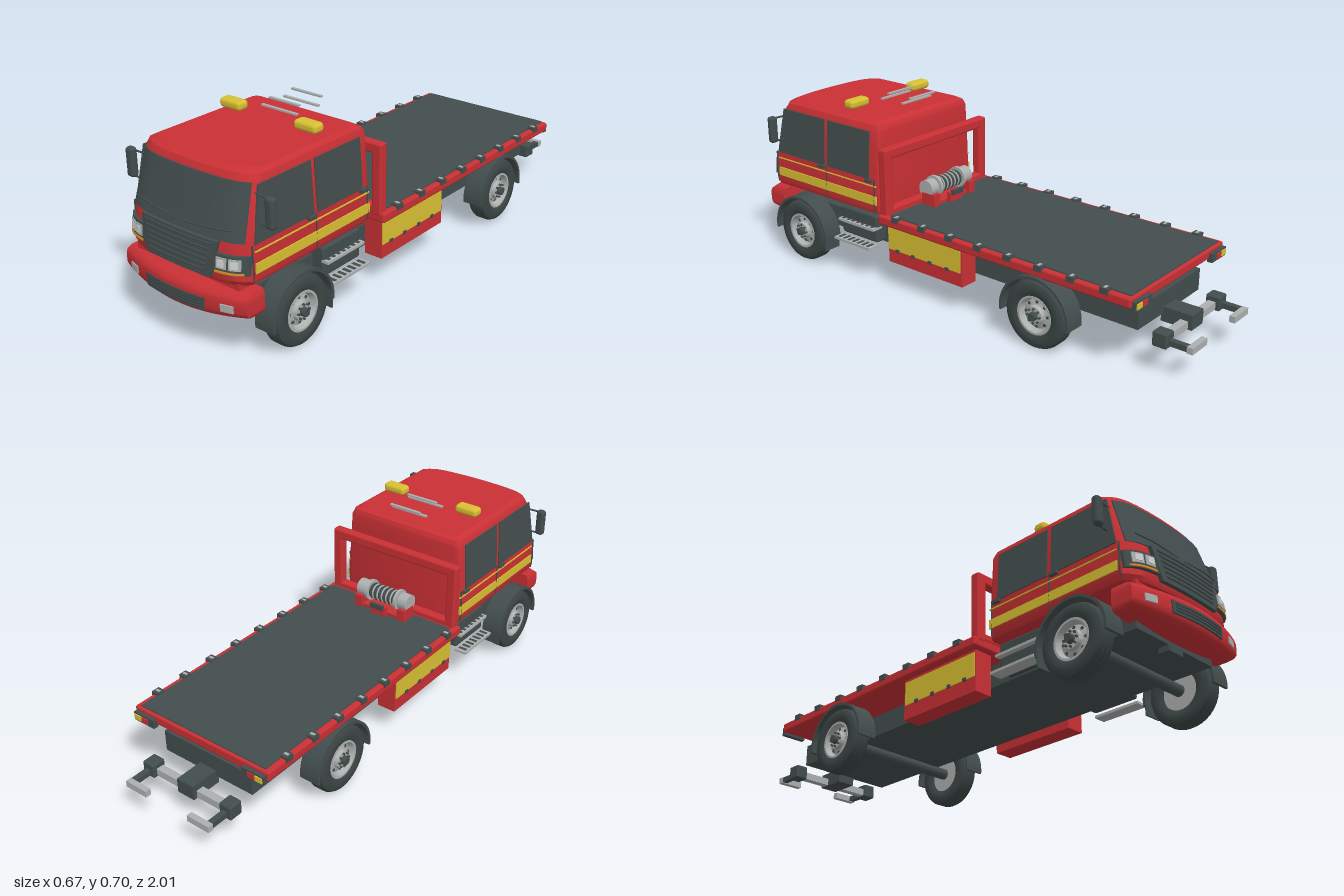
import * as THREE from 'three';
import { toCreasedNormals } from 'three/addons/utils/BufferGeometryUtils.js';
import { RoundedBoxGeometry } from 'three/addons/geometries/RoundedBoxGeometry.js';

const paint = (name, color) => {
  const m = new THREE.MeshStandardMaterial({ color, side: THREE.DoubleSide });
  m.name = name;
  return m;
};
const red = paint('red', 0xc93034), dark = paint('dark grey', 0x434d4d), yellow = paint('yellow', 0xd8c032);
const silver = paint('silver', 0xacb0af), lamp = paint('lamp', 0xd0d2d2), orange = paint('orange', 0xe08820);
const tyre = paint('tyre', 0x3c4545);

export function createModel() {
  const model = new THREE.Group();
  const add = (name, geo, mat, x = 0, y = 0, z = 0, parent = model) => {
    const m = new THREE.Mesh(geo, mat);
    m.name = name;
    m.position.set(x, y, z);
    parent.add(m);
    return m;
  };
  // Box given by its limits, with optional rounded edges
  const box = (name, mat, x0, x1, y0, y1, z0, z1, r = 0) => {
    const s = [Math.abs(x1 - x0), y1 - y0, z1 - z0];
    return add(name, r ? new RoundedBoxGeometry(...s, 2, r) : new THREE.BoxGeometry(...s), mat,
      (x0 + x1) / 2, (y0 + y1) / 2, (z0 + z1) / 2);
  };
  const rod = (name, mat, pts, r) => add(name, new THREE.TubeGeometry(
    new THREE.CatmullRomCurve3(pts.map(p => new THREE.Vector3(...p))), 12, r, 6), mat);
  const both = fn => [1, -1].forEach(fn);
  const lerp = THREE.MathUtils.lerp;
  const curve = (table, y) => {
    let i = 1;
    while (i < table.length - 1 && y > table[i][0]) i++;
    const [a, b] = [table[i - 1], table[i]];
    return lerp(a[1], b[1], THREE.MathUtils.clamp((y - a[0]) / (b[0] - a[0]), 0, 1));
  };

  // Cab outline rules
  const sideX = y => curve([[.283, .263], [.30, .27], [.42, .268], [.61, .256], [.63, .249], [.641, .23]], y);
  const noseZ = y => curve([[.283, .958], [.30, .966], [.42, .954], [.61, .898], [.63, .888], [.641, .865]], y);
  const rearZ = y => curve([[.283, .328], [.61, .328], [.63, .336], [.641, .355]], y);
  const frontZ = (x, y) => {
    const t = Math.min(1, Math.abs(x) / sideX(y));
    return noseZ(y) - .02 * t ** 2 - .035 * t ** 8;
  };
  const bumperZ = x => 1 - .05 * (x / .28) ** 2;

  // Grid surface from a rule giving [x, y, z]
  const surface = (nu, nv, f) => {
    const p = [], idx = [];
    for (let j = 0; j <= nv; j++) for (let i = 0; i <= nu; i++) p.push(...f(i, j));
    for (let j = 0; j < nv; j++) for (let i = 0; i < nu; i++) {
      const a = j * (nu + 1) + i, b = a + nu + 1;
      idx.push(a, a + 1, b + 1, a, b + 1, b);
    }
    const g = new THREE.BufferGeometry();
    g.setAttribute('position', new THREE.Float32BufferAttribute(p, 3));
    g.setIndex(idx);
    return toCreasedNormals(g, .6);
  };
  // Raised plate lying on a curved face: l/r limits at its bottom and top edges
  const panel = (name, mat, map, y0, y1, l0, r0, l1 = l0, r1 = r0, off = .004) => {
    const nu = 16, nv = 8, c = (k, n) => THREE.MathUtils.clamp((k - 1) / (n - 2), 0, 1);
    return add(name, surface(nu, nv, (i, j) => {
      const u = c(i, nu), v = c(j, nv);
      const rim = i === 0 || j === 0 || i === nu || j === nv;
      return map(lerp(lerp(l0, r0, u), lerp(l1, r1, u), v), lerp(y0, y1, v), rim ? -.002 : off);
    }), mat);
  };
  const onNose = (x, y, o) => [x, y, frontZ(x, y) + o];
  const onBumper = (x, y, o) => [x, y, bumperZ(x) + o];
  const onSide = s => (z, y, o) => [s * (sideX(y) + o), y, z];

  // Cab shell, ring by ring
  const levels = [.283, .30, .36, .42, .515, .61, .62, .63, .637, .641], N = 24;
  const ring = y => {
    const w = sideX(y), b = rearZ(y), pts = [];
    for (let i = 0; i <= N; i++) {
      const x = w * Math.sin((i / N - .5) * Math.PI);
      pts.push([x, y, frontZ(x, y)]);
    }
    pts.push([w, y, b + .02], [w - .006, y, b + .006], [w - .02, y, b]);
    pts.push([-w + .02, y, b], [-w + .006, y, b + .006], [-w, y, b + .02], pts[0]);
    return pts;
  };
  const rings = levels.map(ring), count = rings[0].length - 1;
  add('cabShell', surface(count, levels.length - 1, (i, j) => rings[j][i]), red);
  for (const k of [0, levels.length - 1])
    add(k ? 'cabRoof' : 'cabFloor', surface(count, 1, (i, j) => j ? [0, levels[k], .6] : rings[k][i]), red);

  // Windscreen, grille and wipers
  panel('windscreen', dark, onNose, .425, .608, -.25, .25, -.238, .238);
  panel('grille', dark, onNose, .30, .424, -.145, .145, -.173, .173, .014);
  for (let k = 0; k < 6; k++) {
    const y = .322 + k * .018, w = .125 + k * .005;
    rod('grilleSlat', dark, [-1, -.5, 0, .5, 1].map(t => [t * w, y, frontZ(t * w, y) + .015]), .0035);
  }
  both(s => {
    rod('wiper', dark, [.015, .08, .15, .215].map(x => [s * x, .445 + .085 * x, frontZ(x, .46) + .008]), .003);
    // Headlights
    panel('headlightHousing', dark, onNose, .322, .386, s * .152, s * .267, s * .165, s * .267, .012);
    for (const x of [.188, .232]) {
      panel('headlightBezel', silver, onNose, .34, .377, s * (x - .018), s * (x + .018), undefined, undefined, .015);
      panel('headlight', lamp, onNose, .347, .37, s * (x - .011), s * (x + .011), undefined, undefined, .018);
    }
    panel('indicator', orange, onNose, .325, .332, s * .165, s * .258, undefined, undefined, .015);
    // Doors
    const side = onSide(s);
    panel('frontWindow', dark, side, .42, .606, .895, .62, .858, .62);
    panel('rearWindow', dark, side, .42, .606, .602, .372);
    panel('yellowStripe', yellow, side, .32, .355, .335, .895);
    panel('thinStripe', yellow, side, .393, .397, .335, .895);
    for (const z of [.61, .345, .905]) panel('doorSeam', dark, side, .29, .42, z - .0015, z + .0015);
    for (const z of [.635, .37]) box('doorHandle', dark, s * .262, s * .281, .409, .42, z - .017, z + .017);
    // Mirrors
    box('mirror', dark, s * .298, s * .333, .476, .584, .85, .88, .012);
    for (const y of [.48, .575]) rod('mirrorArm', dark, [[s * .245, y, .86], [s * .315, y, .865]], .004);
  });

  // Roof beacons and rails
  both(s => box('beacon', yellow, s * .121, s * .219, .655, .69, .5, .55, .014));
  for (const [z, y, w] of [[.48, .675, .08], [.455, .697, .068], [.37, .675, .08], [.34, .697, .068]])
    box('roofRail', silver, -w, w, y - .003, y + .003, z - .006, z + .006);

  // Front bumper: a box bowed in plan, rounded below
  const bumper = new THREE.BoxGeometry(.56, .108, .13, 24, 8, 4), bp = bumper.attributes.position;
  for (let i = 0; i < bp.count; i++) {
    const x = bp.getX(i), v = bp.getY(i) / .054, d = bp.getZ(i) / .13 + .5;
    bp.setXYZ(i, x * (1 - .03 * v ** 6), .21 + v * .054 + (v < 0 ? -v * .022 * (x / .28) ** 2 : 0),
      lerp(.87, bumperZ(x) - .02 * v ** 6 - (v < 0 ? .012 * v * v : 0), d));
  }
  add('frontBumper', toCreasedNormals(bumper, .7), red);
  panel('bumperGrille', dark, onBumper, .186, .23, -.13, .13, -.135, .135);
  for (const y of [.197, .208, .219]) panel('bumperSlat', tyre, onBumper, y - .002, y + .002, -.12, .12, -.12, .12, .007);
  both(s => panel('fogLight', silver, onBumper, .199, .225, s * .192, s * .236));
  box('bumperMount', red, -.235, .235, .23, .29, .87, .935);

  // Chassis
  box('chassis', dark, -.2, .2, .142, .225, -.8, .9);
  box('subframe', dark, -.1, .1, .222, .27, -.78, .27);
  box('towEye', dark, -.038, .038, .123, .145, .86, .9);

  // Flat bed
  box('bed', red, -.305, .305, .266, .303, -.83, .296, .008);
  box('bedFloor', dark, -.284, .284, .30, .307, -.82, .25);
  box('headboardBeam', red, -.29, .29, .52, .56, .26, .298, .008);
  box('headboardFoot', red, -.29, .29, .295, .325, .26, .298, .008);
  both(s => {
    box('headboardPost', red, s * .25, s * .29, .29, .56, .26, .298, .008);
    for (let k = 0; k < 8; k++) {
      const z = .205 - k * .1335;
      box('lashingRing', dark, s * .279, s * .309, .292, .313, z - .016, z + .016);
      box('ringPin', silver, s * .285, s * .303, .311, .315, z - .005, z + .005);
    }
    // Rear lamps
    box('rearLampHousing', dark, s * .2, s * .295, .257, .29, -.845, -.825);
    box('rearLamp', red, s * .228, s * .256, .264, .284, -.849, -.844);
    box('rearIndicator', yellow, s * .26, s * .29, .264, .284, -.849, -.844);
    // Tool boxes
    box('toolBox', red, s * .2, s * .275, .11, .268, -.1, .27);
    box('toolBoxPanel', yellow, s * .274, s * .279, .165, .255, -.093, .268);
    for (const z of [-.03, .055, .14, .22]) box('toolBoxLatch', dark, s * .277, s * .283, .16, .172, z - .008, z + .008);
    // Tanks and access steps
    box('tank', dark, s * .19, s * .25, .15, .262, .36, .555, .01);
    for (const [y, x] of [[.21, .27], [.138, .295]]) {
      box('step', silver, s * (x - .05), s * x, y - .005, y + .005, .36, .555);
      for (let k = 0; k < 7; k++)
        box('stepTread', dark, s * (x - .042), s * (x - .008), y + .004, y + .007, .374 + k * .026, .386 + k * .026);
    }
  });

  // Winch
  const across = (name, mat, r, w, x, y, z, n = 20) =>
    (add(name, new THREE.CylinderGeometry(r, r, w, n), mat, x, y, z).rotation.z = Math.PI / 2);
  across('winchDrum', dark, .028, .18, 0, .372, .22);
  for (let k = -5; k <= 5; k++)
    add('winchCable', new THREE.TorusGeometry(.029, .004, 5, 18), k % 2 ? dark : silver, k * .0105, .372, .22).rotation.y = Math.PI / 2;
  both(s => {
    across('winchFlange', silver, .042, .012, s * .067, .372, .22);
    across('winchMotor', silver, .034, .04, s * .097, .372, .22);
    box('winchBracket', red, s * .085, s * .118, .305, .355, .175, .24);
  });
  box('winchBase', red, -.11, .11, .305, .318, .185, .245);
  box('cableGuide', red, -.035, .035, .305, .345, .165, .185);
  box('cableHook', dark, -.03, .03, .335, .355, .155, .168);

  // Wheels and wheel arches
  const lathe = pts => toCreasedNormals(new THREE.LatheGeometry(pts.map(p => new THREE.Vector2(...p)), 36), .5);
  const tyreGeo = lathe([[.07, -.03], [.085, -.037], [.108, -.037], [.12, -.031], [.126, -.02], [.126, -.012], [.123, -.01],
    [.126, -.008], [.126, .008], [.123, .01], [.126, .012], [.126, .02], [.12, .031], [.108, .037], [.085, .037], [.07, .03]]);
  const rimGeo = lathe([[0, -.02], [.072, -.02], [.072, .033], [.064, .033], [.055, .012], [.036, .018], [.032, .032], [0, .032]]);
  const arch = new THREE.Shape();
  arch.absarc(0, 0, .148, -.1, Math.PI + .1, false);
  arch.absarc(0, 0, .138, Math.PI + .1, -.1, true);
  const archGeo = toCreasedNormals(new THREE.ExtrudeGeometry(arch, { depth: .08, bevelEnabled: false, curveSegments: 28 }), .5);
  for (const z of [.73, -.455]) {
    across('axle', dark, .022, .5, 0, .126, z, 12);
    both(s => {
      const wheel = new THREE.Group();
      wheel.name = 'wheel';
      wheel.position.set(s * .279, .126, z);
      wheel.rotation.z = -s * Math.PI / 2;
      model.add(wheel);
      add('tyre', tyreGeo, tyre, 0, 0, 0, wheel);
      add('rim', rimGeo, silver, 0, 0, 0, wheel);
      add('hub', new THREE.CylinderGeometry(.015, .018, .03, 12), dark, 0, .034, 0, wheel);
      for (let k = 0; k < 8; k++) {
        const a = k * Math.PI / 4;
        add('wheelNut', new THREE.CylinderGeometry(.004, .004, .012, 6), dark, .026 * Math.cos(a), .034, .026 * Math.sin(a), wheel);
        add('rimHole', new THREE.CylinderGeometry(.006, .006, .006, 8), dark, .046 * Math.cos(a), .014, .046 * Math.sin(a), wheel);
      }
      add('wheelArch', archGeo, dark, s > 0 ? .239 : -.319, .124, z).rotation.y = Math.PI / 2;
      model.children.at(-1).position.x = s > 0 ? .239 : -.319;
    });
  }
  both(s => box('mudFlap', dark, s * .242, s * .316, .075, .14, .588, .593));

  // Rear wheel lift
  box('liftArm', dark, -.037, .037, .11, .165, -.91, -.79);
  box('liftBar', silver, -.17, .17, .112, .14, -.895, -.865);
  both(s => {
    box('liftPivot', dark, s * .152, s * .203, .106, .16, -.91, -.855, .006);
    box('liftFork', dark, s * .166, s * .188, .117, .137, -.99, -.9);
    box('forkToe', silver, s * .095, s * .19, .114, .138, -1, -.978);
  });
  return model;
}
